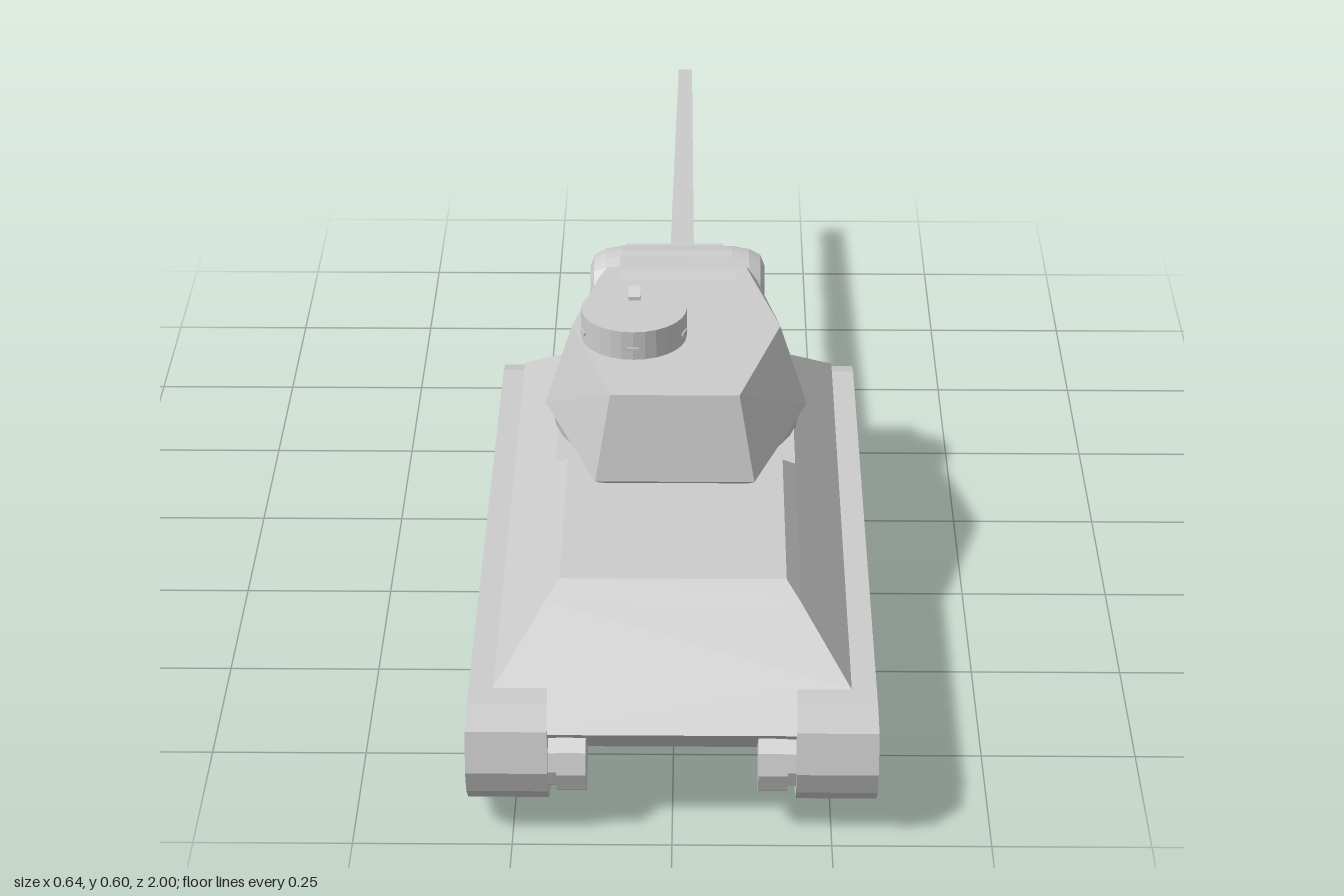
import * as THREE from 'three';
import { ConvexGeometry } from 'three/addons/geometries/ConvexGeometry.js';

const flat = new THREE.MeshStandardMaterial({ color: 0xcccccc, flatShading: true });
const smooth = new THREE.MeshStandardMaterial({ color: 0xcccccc });

function add(group, name, geometry, x = 0, y = 0, z = 0, material = flat) {
  const mesh = new THREE.Mesh(geometry, material);
  mesh.name = name;
  mesh.position.set(x, y, z);
  group.add(mesh);
  return mesh;
}

// Side profile of [z, y] points, extruded across x from x0 to x1
function sideExtrude(profile, x0, x1) {
  const shape = new THREE.Shape(profile.map(([z, y]) => new THREE.Vector2(-z, y)));
  const geo = new THREE.ExtrudeGeometry(shape, { depth: x1 - x0, bevelEnabled: false });
  return geo.rotateY(Math.PI / 2).translate(x0, 0, 0);
}

// Convex solid from [x, y, z] points mirrored in x
function mirroredSolid(points) {
  const all = points.flatMap(([x, y, z]) => [new THREE.Vector3(x, y, z), new THREE.Vector3(-x, y, z)]);
  return new ConvexGeometry(all);
}

export function createModel() {
  const tank = new THREE.Group();
  tank.name = 'tank';

  // Tracks
  const trackProfile = [
    [0.77, 0], [0.95, 0.055], [0.985, 0.09], [1, 0.133], [0.985, 0.2], [0.92, 0.21],
    [-0.19, 0.205], [-0.24, 0.19], [-0.27, 0.17], [-0.27, 0.12], [-0.25, 0.085], [-0.1, 0.008], [-0.06, 0],
  ];
  add(tank, 'leftTrack', sideExtrude(trackProfile, 0.193, 0.32));
  add(tank, 'rightTrack', sideExtrude(trackProfile, -0.32, -0.193));

  // Lower hull between the tracks
  add(tank, 'lowerHull', sideExtrude([
    [0.985, 0.195], [0.93, 0.245], [-0.166, 0.245], [-0.28, 0.18], [-0.15, 0.09], [0.86, 0.09],
  ], -0.194, 0.194));

  // Upper hull with sloped sides and glacis
  add(tank, 'upperHull', mirroredSolid([
    [0.278, 0.245, 0.93], [0.278, 0.245, -0.145], [0.193, 0.245, -0.166],
    [0.2, 0.34, 0.0], [0.2, 0.34, 0.827],
  ]));
  // Raised engine deck
  add(tank, 'engineDeck', mirroredSolid([
    [0.2, 0.34, 0.827], [0.2, 0.34, 0.39], [0.178, 0.365, 0.42], [0.178, 0.365, 0.8],
  ]));

  // Final drive covers at the rear corners
  for (const side of [-1, 1]) {
    const cover = new THREE.CylinderGeometry(0.058, 0.058, 0.046, 10).rotateZ(Math.PI / 2);
    add(tank, 'finalDriveCover', cover, side * 0.157, 0.122, 0.93);
    const hub = new THREE.CylinderGeometry(0.05, 0.05, 0.02, 10).rotateZ(Math.PI / 2);
    add(tank, 'finalDriveHub', hub, side * 0.187, 0.122, 0.93);
  }

  // Ball mount housing and vision blocks on the glacis
  const ball = new THREE.LatheGeometry(
    [[0.043, 0], [0.043, 0.075], [0.036, 0.1], [0.02, 0.115], [0, 0.12]].map(([r, h]) => new THREE.Vector2(r, h)), 14);
  add(tank, 'ballMount', ball.rotateX(-Math.PI / 2), 0.118, 0.268, -0.025);
  for (const x of [-0.1, -0.065]) {
    const block = add(tank, 'visionBlock', new THREE.BoxGeometry(0.026, 0.012, 0.022), x, 0.292, -0.09);
    block.rotation.x = -0.52;
  }

  // Turret
  const turret = new THREE.Group();
  turret.name = 'turret';
  tank.add(turret);
  add(turret, 'turretRing', new THREE.CylinderGeometry(0.215, 0.207, 0.04, 32), 0, 0.353, 0.215, smooth);
  add(turret, 'turretBody', mirroredSolid([
    [0.12, 0.365, 0.5], [0.212, 0.365, 0.25], [0.14, 0.365, 0.0],
    [0.13, 0.38, 0.522], [0.222, 0.378, 0.25], [0.152, 0.38, 0.0],
    [0.105, 0.526, 0.495], [0.175, 0.526, 0.25], [0.12, 0.526, 0.03], [0.13, 0.5, -0.01],
  ]));

  // Rounded mantlet roll with softened ends
  const roll = new THREE.LatheGeometry(
    [[0, -0.152], [0.05, -0.152], [0.068, -0.145], [0.078, -0.125], [0.083, -0.095],
      [0.083, 0.095], [0.078, 0.125], [0.068, 0.145], [0.05, 0.152], [0, 0.152]]
      .map(([r, h]) => new THREE.Vector2(r, h)), 24);
  add(turret, 'mantlet', roll.rotateZ(-Math.PI / 2), 0, 0.45, -0.022);
  add(turret, 'mantletCap', mirroredSolid([
    [0.1, 0.526, 0.08], [0.1, 0.533, 0.05], [0.1, 0.53, -0.02], [0.1, 0.44, 0.05],
  ]));
  add(turret, 'mantletStrip', new THREE.BoxGeometry(0.17, 0.012, 0.012), -0.005, 0.518, -0.062);

  // Four-sided tapering gun with a collar
  const barrel = new THREE.CylinderGeometry(0.021, 0.034, 0.92, 4)
    .rotateY(Math.PI / 4).rotateX(-Math.PI / 2);
  const gun = add(turret, 'gunBarrel', barrel, 0.007, 0.444, -0.54);
  gun.scale.x = 0.9;
  gun.rotation.x = -0.007;
  add(turret, 'gunCollar', new THREE.CylinderGeometry(0.028, 0.04, 0.035, 12).rotateX(-Math.PI / 2), 0.005, 0.447, -0.105);

  // Commander's cupola with vision slits and periscopes
  add(turret, 'cupola', new THREE.CylinderGeometry(0.088, 0.088, 0.052, 28), -0.07, 0.551, 0.285);
  for (let i = 0; i < 5; i++) {
    const a = (i / 5) * Math.PI * 2;
    const slit = add(turret, 'cupolaSlit', new THREE.BoxGeometry(0.02, 0.005, 0.004),
      -0.07 + Math.sin(a) * 0.088, 0.546, 0.285 + Math.cos(a) * 0.088);
    slit.rotation.y = a;
  }
  const periscope = () => sideExtrude([[0.01, 0], [0.01, 0.008], [-0.006, 0.022], [-0.008, 0]], -0.01, 0.01);
  add(turret, 'cupolaPeriscope', periscope(), -0.07, 0.575, 0.247);
  add(turret, 'roofPeriscope', periscope(), -0.1, 0.524, 0.163);

  return tank;
}
